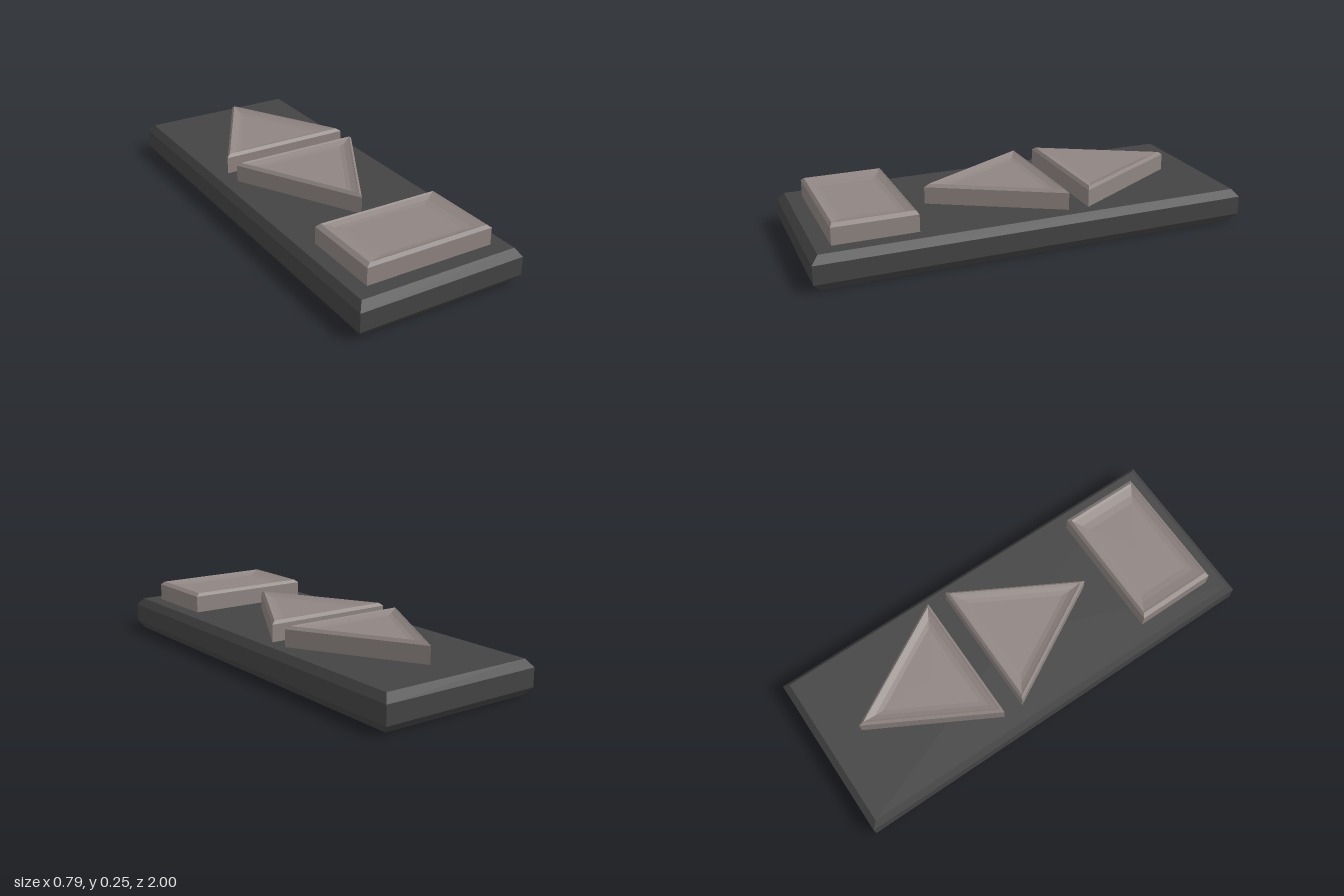
import * as THREE from 'three';

// Stacks scaled copies of an [x, z] outline; each ring is [scaleX, scaleZ, y].
function loft(outline, rings) {
  const n = outline.length;
  const cx = outline.reduce((s, p) => s + p[0], 0) / n;
  const cz = outline.reduce((s, p) => s + p[1], 0) / n;
  const loops = rings.map(([sx, sz, y]) =>
    outline.map(([x, z]) => [cx + (x - cx) * sx, y, cz + (z - cz) * sz]));
  const pos = [];
  const tri = (a, b, c) => pos.push(...a, ...b, ...c);
  const last = loops.length - 1;
  for (let j = 0; j < n; j++) {
    const k = (j + 1) % n;
    for (let i = 0; i < last; i++) {
      tri(loops[i][j], loops[i][k], loops[i + 1][k]);
      tri(loops[i][j], loops[i + 1][k], loops[i + 1][j]);
    }
    tri([cx, rings[0][2], cz], loops[0][k], loops[0][j]);
    tri([cx, rings[last][2], cz], loops[last][j], loops[last][k]);
  }
  const geometry = new THREE.BufferGeometry();
  geometry.setAttribute('position', new THREE.Float32BufferAttribute(pos, 3));
  geometry.computeVertexNormals();
  return geometry;
}

const rect = (x0, x1, z0, z1) => [[x0, z1], [x1, z1], [x1, z0], [x0, z0]];

export function createModel() {
  const group = new THREE.Group();
  const baseMat = new THREE.MeshStandardMaterial({ color: 0x444444, flatShading: true });
  const buttonMat = new THREE.MeshStandardMaterial({ color: 0x8f8582, flatShading: true });

  const add = (name, geometry, material) => {
    const mesh = new THREE.Mesh(geometry, material);
    mesh.name = name;
    group.add(mesh);
  };

  // Slab with bevelled top and bottom edges
  add('basePlate', loft(rect(-0.395, 0.395, -1, 1), [
    [0.94, 0.97, 0], [1, 1, 0.036], [1, 1, 0.121], [0.94, 0.97, 0.156],
  ]), baseMat);

  // Buttons: straight sides, chamfered rim and a shallow dished top
  const buttonRings = [
    [1, 0.15], [1, 0.234], [0.94, 0.248], [0.9, 0.243], [0.78, 0.233], [0.67, 0.229],
  ].map(([s, y]) => [s, s, y]);
  const buttons = {
    upButton: [[-0.305, -0.25], [0.32, -0.25], [0.005, -0.81]],
    downButton: [[0.005, 0.41], [0.32, -0.155], [-0.305, -0.155]],
    rectangularButton: rect(-0.3, 0.305, 0.525, 0.9),
  };
  for (const [name, outline] of Object.entries(buttons)) {
    add(name, loft(outline, buttonRings), buttonMat);
  }
  return group;
}
